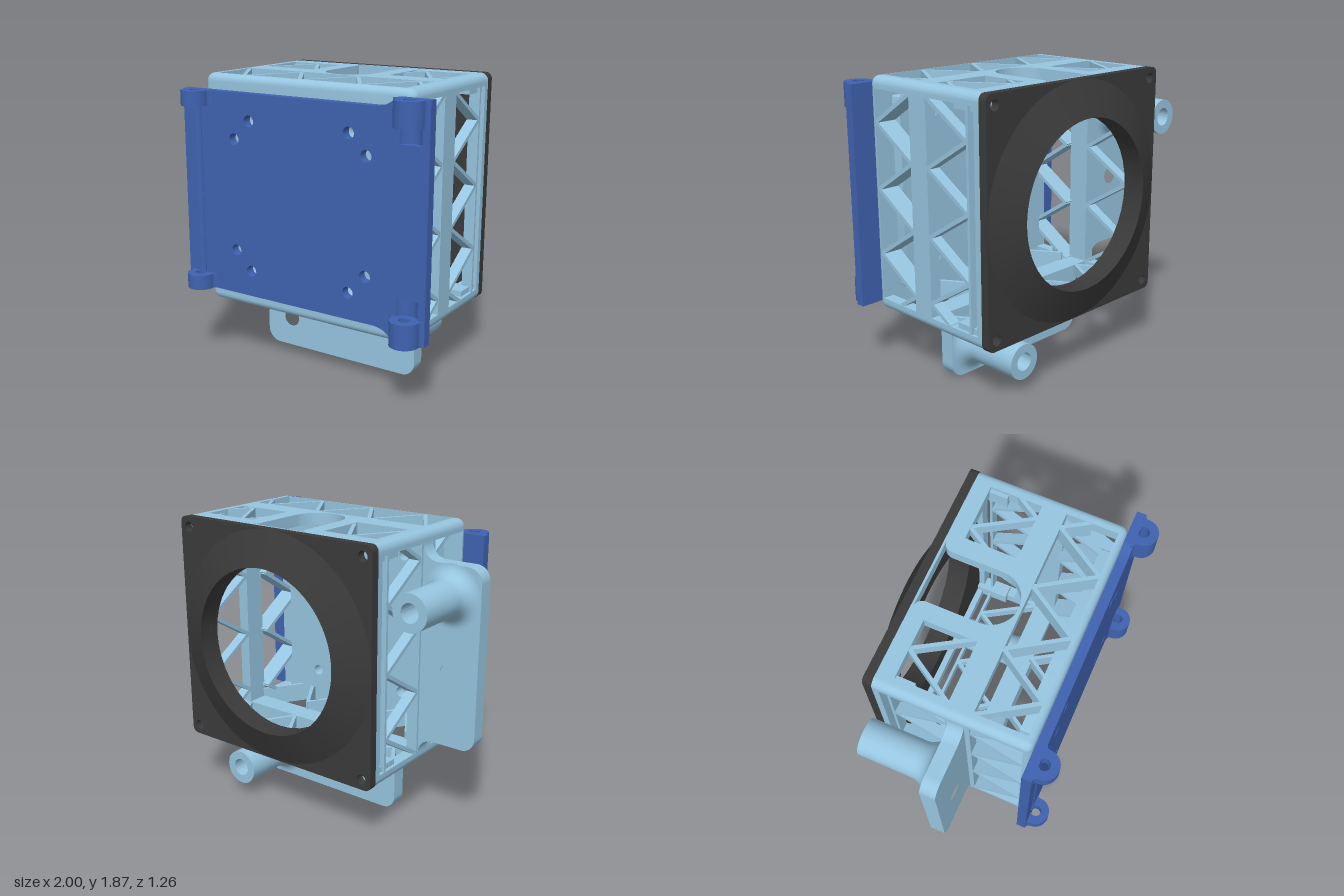
import * as THREE from 'three';
import { toCreasedNormals } from 'three/addons/utils/BufferGeometryUtils.js';

const shellMat = new THREE.MeshStandardMaterial({ color: 0x97c5e0 });
const plateMat = new THREE.MeshStandardMaterial({ color: 0x3f62b0 });
const bezelMat = new THREE.MeshStandardMaterial({ color: 0x3a3a3a });

const CX = 0.128, CY = 1.135, HALF = 0.737; // housing centre and half width
const WALL = 0.075;

function add(parent, name, geo, mat, x = 0, y = 0, z = 0) {
  const mesh = new THREE.Mesh(geo, mat);
  mesh.name = name;
  mesh.position.set(x, y, z);
  parent.add(mesh);
  return mesh;
}

function extrude(shape, depth) {
  return toCreasedNormals(
    new THREE.ExtrudeGeometry(shape, { depth, bevelEnabled: false, curveSegments: 20 }), 0.6);
}

function lathe(points) {
  const pts = points.map(([r, h]) => new THREE.Vector2(r, h));
  // lathe axis turned to point backwards (-z)
  return toCreasedNormals(new THREE.LatheGeometry(pts, 64), 0.5).rotateX(-Math.PI / 2);
}

function hole(shape, x, y, r) {
  shape.holes.push(new THREE.Path().absarc(x, y, r, 0, Math.PI * 2, true));
}

function rectPath(x0, y0, x1, y1) {
  return new THREE.Path().moveTo(x0, y0).lineTo(x0, y1).lineTo(x1, y1).lineTo(x1, y0).closePath();
}

function roundedSquare(h, r) {
  const s = new THREE.Shape();
  s.absarc(h - r, h - r, r, 0, Math.PI / 2);
  s.absarc(-h + r, h - r, r, Math.PI / 2, Math.PI);
  s.absarc(-h + r, -h + r, r, Math.PI, Math.PI * 1.5);
  s.absarc(h - r, -h + r, r, Math.PI * 1.5, Math.PI * 2);
  return s;
}

// zigzag of struts between depths zA and zB, clipped to uMin..uMax
function truss(wall, uMin, uMax, zA, zB, depth) {
  const step = 0.206;
  for (let k = 0; k < 7; k++) {
    const n0 = -0.667 + k * step;
    const [s, e] = k % 2 ? [zB, zA] : [zA, zB];
    const u0 = Math.max(n0, uMin), u1 = Math.min(n0 + step, uMax);
    if (u1 - u0 < 0.01) continue;
    const z0 = s + (e - s) * (u0 - n0) / step, z1 = s + (e - s) * (u1 - n0) / step;
    const strut = add(wall, 'strut',
      new THREE.BoxGeometry(Math.hypot(u1 - u0, z1 - z0) + 0.015, depth, 0.024), shellMat,
      (u0 + u1) / 2, HALF - 0.003 - depth / 2, (z0 + z1) / 2);
    strut.rotation.y = -Math.atan2(z1 - z0, u1 - u0);
  }
}

// top wall behind the front bay: two windows and a U-shaped slot
function topPanel() {
  const s = new THREE.Shape();
  s.moveTo(-0.665, -0.09).lineTo(0.665, -0.09).lineTo(0.665, 0.49).lineTo(-0.665, 0.49).closePath();
  s.holes.push(rectPath(-0.648, 0.06, -0.278, 0.385), rectPath(0.282, 0.06, 0.652, 0.385));
  const slot = new THREE.Path();
  slot.absarc(0, 0.1, 0.17, Math.PI, Math.PI * 2);
  slot.lineTo(0.17, 0.41).quadraticCurveTo(0.17, 0.475, 0.23, 0.475);
  slot.lineTo(-0.23, 0.475).quadraticCurveTo(-0.17, 0.475, -0.17, 0.41);
  s.holes.push(slot);
  return extrude(s, WALL).rotateX(-Math.PI / 2);
}

// mounting flange with a screw hole and a hollow standoff
function flange(wall, holeU, tubeU) {
  const w = 0.567, top = 1.13, r = 0.09, mid = 0.932;
  const s = new THREE.Shape();
  s.moveTo(-w - 0.1, HALF - 0.02).lineTo(-w - 0.1, HALF);
  s.absarc(-w - 0.1, HALF + 0.1, 0.1, -Math.PI / 2, 0);
  s.absarc(-w + r, top - r, r, Math.PI, Math.PI / 2, true);
  s.absarc(w - r, top - r, r, Math.PI / 2, 0, true);
  s.absarc(w + 0.1, HALF + 0.1, 0.1, Math.PI, Math.PI * 1.5);
  s.lineTo(w + 0.1, HALF - 0.02);
  hole(s, holeU, mid, 0.057);
  add(wall, 'mountingFlange', extrude(s, 0.097), shellMat, 0, 0, -0.035);
  const profile = [];
  for (let i = 0; i <= 10; i++) {
    const a = (i / 10) * Math.PI / 2;
    profile.push([0.195 - 0.082 * Math.sin(a), 0.1 * (1 - Math.cos(a))]);
  }
  profile.push([0.113, 0.435], [0.058, 0.435], [0.058, 0.15], [0, 0.15]);
  add(wall, 'standoff', lathe(profile), shellMat, tubeU, mid, -0.035);
}

function buildHousing() {
  const housing = new THREE.Group();
  housing.name = 'housing';
  housing.position.set(CX, CY, 0);
  const inner = HALF - WALL;

  const post = new THREE.Shape();
  post.moveTo(inner, inner).lineTo(HALF, inner).lineTo(HALF, HALF - 0.05);
  post.absarc(HALF - 0.05, HALF - 0.05, 0.05, 0, Math.PI / 2);
  post.lineTo(inner, HALF).closePath();
  const postGeo = extrude(post, 0.9);

  // four walls: top, left side, bottom, right side
  ['topWall', 'sideWallA', 'bottomWall', 'sideWallB'].forEach((name, k) => {
    const wall = new THREE.Group();
    wall.name = name;
    wall.rotation.z = k * Math.PI / 2;
    housing.add(wall);
    add(wall, 'cornerPost', postGeo, shellMat, 0, 0, -0.49);
    add(wall, 'screwBoss', new THREE.BoxGeometry(0.09, 0.09, 0.22), shellMat, 0.672, 0.672, -0.38);
    truss(wall, -0.665, 0.665, 0.09, 0.41, 0.127);
    if (k === 0) {
      add(wall, 'slottedPanel', topPanel(), shellMat, 0, inner, 0);
      truss(wall, -0.655, -0.27, -0.055, -0.39, 0.07);
      truss(wall, 0.275, 0.66, -0.055, -0.39, 0.07);
    } else {
      const y = HALF - WALL / 2;
      add(wall, 'middleBand', new THREE.BoxGeometry(1.34, WALL, 0.145), shellMat, 0, y, 0.02);
      add(wall, 'rearRim', new THREE.BoxGeometry(1.34, WALL, 0.04), shellMat, 0, y, -0.47);
      add(wall, 'thinRail', new THREE.BoxGeometry(1.34, 0.07, 0.018), shellMat, 0, y, -0.392);
      truss(wall, -0.665, 0.665, -0.05, -0.385, 0.07);
    }
    if (k === 1) flange(wall, -0.095, 0.38);
    if (k === 2) flange(wall, 0.373, -0.377);
  });

  // front wall: outer cap with rounded front edge, thicker core behind
  const corners = [[-0.355, 0.473], [0.357, 0.473], [-0.355, -0.47], [0.357, -0.47]];
  const cap = roundedSquare(HALF, 0.05), core = roundedSquare(HALF - 0.13, 0.01);
  for (const [x, y] of corners) {
    hole(cap, x, y, 0.036);
    hole(core, x, y, 0.036);
  }
  const capGeo = new THREE.ExtrudeGeometry(cap, {
    depth: 0.001, bevelThickness: 0.044, bevelSize: 0.044, bevelOffset: -0.044,
    bevelSegments: 6, curveSegments: 12,
  });
  const p = capGeo.attributes.position;
  for (let i = 0; i < p.count; i++) if (p.getZ(i) < 0) p.setZ(i, 0); // flat back
  add(housing, 'frontWall', toCreasedNormals(capGeo, 0.6), shellMat, 0, 0, 0.41);
  add(housing, 'frontWallCore', extrude(core, 0.07), shellMat, 0, 0, 0.34);
  return housing;
}

function buildBezel() {
  const bezel = new THREE.Group();
  bezel.name = 'rearBezel';
  bezel.position.set(CX, CY, 0);
  const s = roundedSquare(HALF, 0.04);
  hole(s, 0, 0, 0.522);
  for (const x of [-0.672, 0.672]) for (const y of [-0.672, 0.672]) hole(s, x, y, 0.032);
  add(bezel, 'bezelBase', extrude(s, 0.055), bezelMat, 0, 0, -0.545);
  add(bezel, 'bezelCone', lathe([[HALF, 0], [0.522, 0.09], [0.522, 0]]), bezelMat, 0, 0, -0.545);
  return bezel;
}

function buildFrontPlate() {
  const plate = new THREE.Group();
  plate.name = 'hingePlate';
  const s = new THREE.Shape();
  s.moveTo(-0.735, 0.5).lineTo(0.66, 0.5).quadraticCurveTo(0.74, 0.495, 0.78, 0.44);
  s.lineTo(0.995, 0.44).lineTo(0.995, 1.83).lineTo(0.78, 1.83);
  s.quadraticCurveTo(0.74, 1.78, 0.66, 1.775).lineTo(-0.735, 1.775).closePath();
  for (const x of [-0.225, 0.485]) for (const y of [0.665, 1.61]) hole(s, x, y, 0.036);
  for (const x of [-0.34, 0.6]) for (const y of [0.785, 1.49]) hole(s, x, y, 0.036);

  // clearance grooves: x, bottom, top, radius
  for (const [x, y0, y1, r] of [[0.88, 0.59, 0.7, 0.073], [0.88, 1.58, 1.68, 0.073],
    [-0.62, 0.595, 1.68, 0.035]]) {
    const a = Math.asin(0.025 / r), w = r * Math.cos(a);
    s.holes.push(rectPath(x - w, y0, x + w, y1));
    const g = new THREE.Shape();
    g.moveTo(-w, 0.455).lineTo(w, 0.455).lineTo(w, 0.515);
    g.absarc(0, 0.54, r, -a, -Math.PI + a, true);
    add(plate, 'groove', extrude(g, y1 - y0).rotateX(Math.PI / 2), plateMat, x, y1, 0);
  }
  add(plate, 'plate', extrude(s, 0.06), plateMat, 0, 0, 0.455);

  // hinge knuckles: x, bottom, top
  const k = new THREE.Shape();
  k.moveTo(-0.115, 0.5).lineTo(0.115, 0.5).lineTo(0.115, 0.515);
  k.quadraticCurveTo(0.088, 0.517, 0.088, 0.54);
  k.absarc(0, 0.54, 0.088, 0, Math.PI);
  k.quadraticCurveTo(-0.088, 0.517, -0.115, 0.515);
  hole(k, 0, 0.54, 0.035);
  for (const [x, y0, y1] of [[-0.62, 0.5, 0.595], [-0.62, 1.68, 1.775],
    [0.88, 0.44, 0.59], [0.88, 1.68, 1.83]]) {
    add(plate, 'hingeKnuckle', extrude(k, y1 - y0).rotateX(Math.PI / 2), plateMat, x, y1, 0);
  }
  return plate;
}

export function createModel() {
  const model = new THREE.Group();
  model.name = 'ventilatedHousing';
  model.add(buildHousing(), buildBezel(), buildFrontPlate());
  return model;
}
